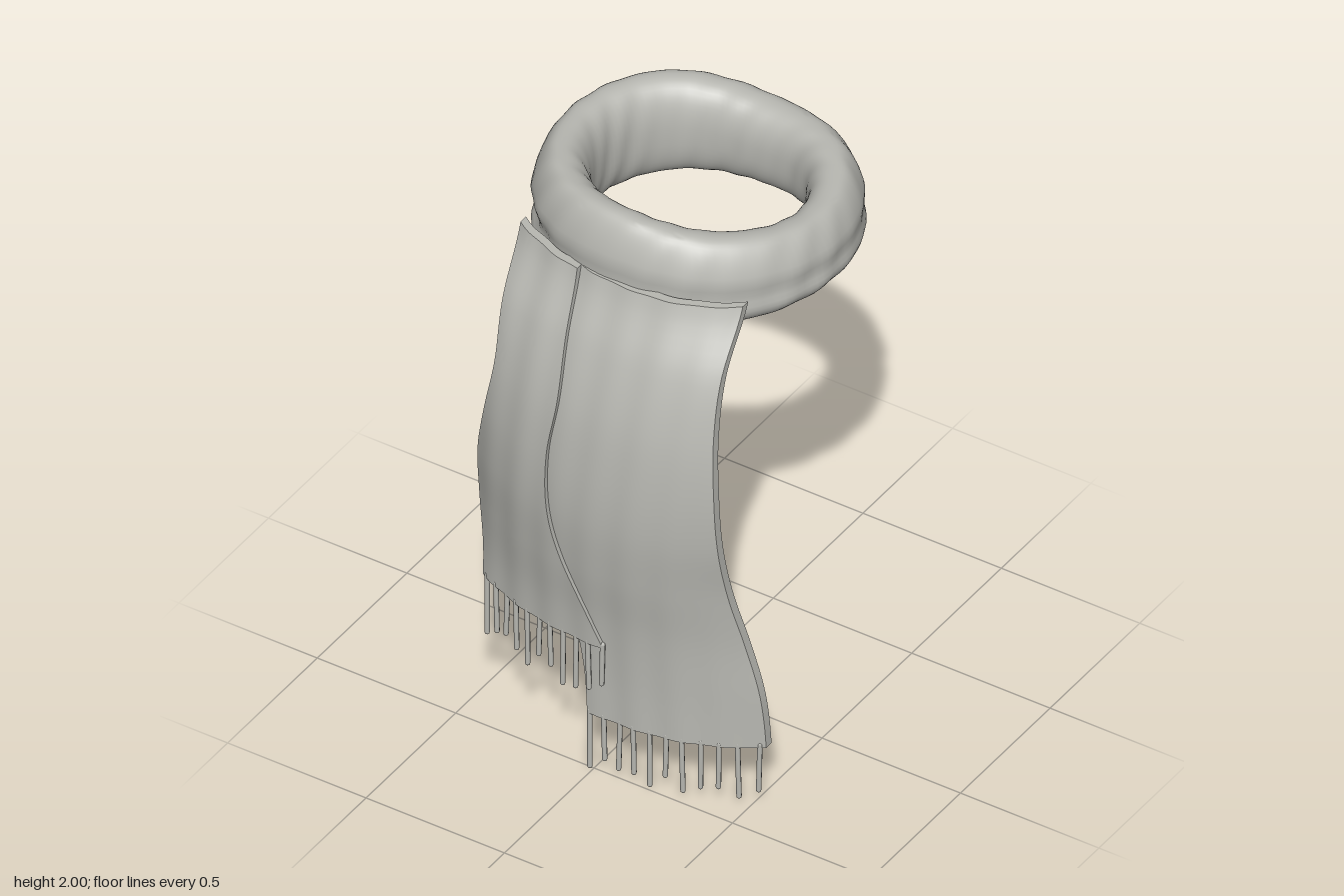
import * as THREE from 'three';
import { toCreasedNormals } from 'three/addons/utils/BufferGeometryUtils.js';

// Smooth (Catmull-Rom) interpolation through evenly spaced values
function spline(v, t, wrap) {
  const n = v.length;
  const at = (i) => (wrap ? v[((i % n) + n) % n] : v[Math.min(n - 1, Math.max(0, i))]);
  const i = Math.floor(t), f = t - i;
  const [a, b, c, d] = [at(i - 1), at(i), at(i + 1), at(i + 2)];
  return b + 0.5 * f * (c - a + f * (2 * a - 5 * b + 4 * c - d + f * (3 * (b - c) + d - a)));
}

// Skin a list of closed loops; caps join each loop's first half to its second half
function loft(rows, { closed = false, caps = false, crease = 1 } = {}) {
  const n = rows[0].length, m = rows.length, idx = [];
  for (let r = 0; r < (closed ? m : m - 1); r++) {
    for (let i = 0; i < n; i++) {
      const j = (i + 1) % n, q = ((r + 1) % m) * n, p = r * n;
      idx.push(p + i, q + i, p + j, p + j, q + i, q + j);
    }
  }
  if (caps) {
    const e = (m - 1) * n;
    for (let i = 0; i < n / 2 - 1; i++) {
      const k = n - 1 - i;
      idx.push(e + i, e + k, e + i + 1, e + k, e + k - 1, e + i + 1);
      idx.push(i, i + 1, k, k, i + 1, k - 1);
    }
  }
  const g = new THREE.BufferGeometry();
  g.setAttribute('position', new THREE.Float32BufferAttribute(rows.flat(2), 3));
  g.setIndex(idx);
  return toCreasedNormals(g, crease);
}

// Neck loop: limits of the tube at eight angles, starting at +x and going to the front
const LOOP = {
  outer: [0.51, 0.505, 0.49, 0.505, 0.515, 0.515, 0.49, 0.51],
  inner: [0.335, 0.32, 0.315, 0.315, 0.335, 0.33, 0.295, 0.33],
  top: [1.92, 1.955, 1.995, 1.975, 1.96, 1.95, 1.92, 1.925],
  bottom: [1.67, 1.66, 1.66, 1.62, 1.605, 1.6, 1.62, 1.64],
};

function neckLoop() {
  const rows = [], N = 128, M = 48;
  for (let r = 0; r < N; r++) {
    const a = (r / N) * Math.PI * 2, t = (r / N) * 8;
    const [o, n, hi, lo] = ['outer', 'inner', 'top', 'bottom'].map((k) => spline(LOOP[k], t, true));
    // the fold is deepest on the model's right side
    const fold = 0.01 + 0.03 * Math.exp(-(((a - 2.9) / 0.7) ** 2));
    const row = [];
    for (let i = 0; i < M; i++) {
      const s = (-i / M) * Math.PI * 2, c = Math.cos(s), v = Math.sin(s);
      const soft = (u) => Math.sign(u) * Math.abs(u) ** 0.85;
      let R = (o + n) / 2 + ((o - n) / 2) * soft(c);
      R -= fold * Math.exp(-(((s + Math.PI * 2 - 6.1) / 0.22) ** 2));
      R -= 0.025 * v * Math.max(0, c);
      R += 0.003 * Math.sin(a * 22 + s * 3) * Math.sin(a * 3 + 1);
      const y = (hi + lo) / 2 + ((hi - lo) / 2) * soft(v);
      row.push([-0.015 + R * Math.cos(a), y, -0.1 + R * Math.sin(a)]);
    }
    rows.push(row);
  }
  return loft(rows, { closed: true, crease: 1.4 });
}

// Hanging ends: values every 0.2 from y = 1.8 down to y = 0.2
const CREST = [0.395, 0.485, 0.545, 0.572, 0.578, 0.56, 0.53, 0.515, 0.512];
const ENDS = [
  {
    name: 'shortEnd', low: 0.5, lift: 0.012, side: 'left',
    left: [-0.4, -0.38, -0.37, -0.41, -0.46, -0.473, -0.458, -0.455, -0.455],
    right: [-0.13, -0.11, -0.1, -0.125, -0.12, -0.075, 0.01, 0.085, 0.1],
    edge: [0.28, 0.41, 0.47, 0.47, 0.43, 0.4, 0.4, 0.41, 0.41],
    tips: [0.28, 0.32, 0.34, 0.32, 0.29, 0.35, 0.34, 0.29, 0.3, 0.32, 0.35],
  },
  {
    name: 'longEnd', low: 0.215, lift: 0, side: 'right',
    left: [-0.18, -0.17, -0.16, -0.18, -0.17, -0.13, -0.07, -0.03, -0.018],
    right: [0.395, 0.4, 0.41, 0.425, 0.435, 0.447, 0.48, 0.52, 0.535],
    edge: [0.28, 0.41, 0.47, 0.49, 0.48, 0.44, 0.4, 0.375, 0.365],
    tips: [0, 0.05, 0.03, 0.04, 0.01, 0.06, 0.02, 0.04, 0.05, 0.02, 0.04],
  },
];
const THICK = 0.03;

// Front surface of a hanging end: the outer edge curls back
function surface(end, u, y) {
  const t = (1.8 - y) / 0.2;
  const l = spline(end.left, t), r = spline(end.right, t), x = l + (r - l) * u;
  const crest = spline(CREST, t), edge = spline(end.edge, t);
  const k = Math.abs((x - 0.05) / (spline(end[end.side], t) - 0.05)) ** 2.4;
  const ripple = 0.0025 * Math.sin(x * 45 + Math.sin(y * 3) * 1.5);
  return new THREE.Vector3(x, y, crest - (crest - edge) * k + end.lift + ripple);
}

function hangingEnd(end) {
  const rows = [], N = 50, M = 28;
  for (let r = 0; r <= N; r++) {
    const y = 1.795 + (end.low - 1.795) * (r / N), front = [], back = [];
    for (let i = 0; i <= M; i++) {
      const p = surface(end, i / M, y);
      front.push([p.x, p.y, p.z]);
      back.unshift([p.x, p.y, p.z - THICK]);
    }
    rows.push([...front, ...back]);
  }
  return loft(rows, { caps: true, crease: 0.8 });
}

export function createModel() {
  const model = new THREE.Group();
  const wool = new THREE.MeshStandardMaterial({ color: 0xb8b8b2 });
  wool.name = 'pale grey wool';
  const add = (parent, name, geo) => {
    const mesh = new THREE.Mesh(geo, wool);
    mesh.name = name;
    parent.add(mesh);
    return mesh;
  };

  add(model, 'neckLoop', neckLoop());

  for (const end of ENDS) {
    const group = new THREE.Group();
    group.name = end.name;
    model.add(group);
    add(group, 'cloth', hangingEnd(end));

    // Fringe: a row of thin threads of uneven length
    end.tips.forEach((tip, i) => {
      const u = 0.012 + (0.95 * i) / (end.tips.length - 1) + (end.side === 'left' ? 0.025 : 0);
      const p = surface(end, u, end.low);
      const top = end.low + 0.018, len = top - tip;
      const thread = add(group, 'fringeThread', new THREE.CapsuleGeometry(0.0085, len - 0.017, 3, 8));
      thread.position.set(p.x, (top + tip) / 2, p.z - THICK / 2 + 0.008);
      thread.rotation.z = 0.03 * Math.sin(i * 2.3);
    });
  }
  return model;
}
